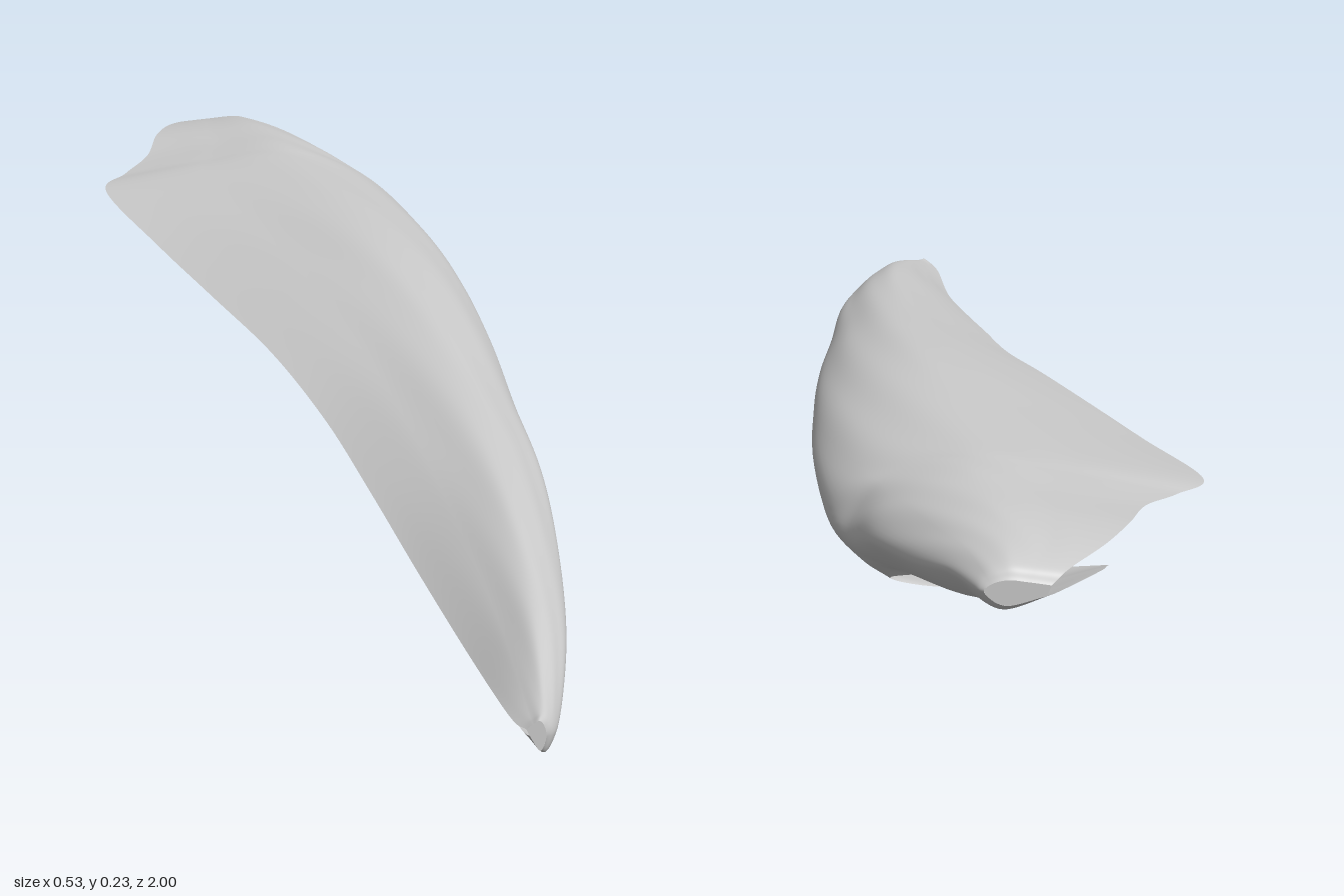
import * as THREE from 'three';
import { ParametricGeometry } from 'three/addons/geometries/ParametricGeometry.js';

// Cross-sections from the front tip to the back end:
// z, left edge x y, crest y, outermost x y, underside y, lower edge x y
const sections = [
  [1.0, 0.17, 0.04, 0.05, 0.192, 0.03, 0.014, 0.174, 0.032],
  [0.96, 0.157, 0.037, 0.057, 0.211, 0.028, 0.002, 0.167, 0.026],
  [0.8, 0.13, 0.04, 0.095, 0.24, 0.055, 0.015, 0.14, 0.032],
  [0.6, 0.09, 0.062, 0.132, 0.256, 0.08, 0.028, 0.11, 0.047],
  [0.4, 0.05, 0.088, 0.156, 0.262, 0.1, 0.04, 0.095, 0.05],
  [0.2, 0.008, 0.112, 0.178, 0.255, 0.11, 0.048, 0.085, 0.051],
  [0.0, -0.05, 0.137, 0.2, 0.25, 0.12, 0.056, 0.07, 0.052],
  [-0.2, -0.12, 0.152, 0.217, 0.238, 0.13, 0.064, 0.055, 0.053],
  [-0.4, -0.19, 0.166, 0.224, 0.218, 0.135, 0.07, 0.04, 0.053],
  [-0.62, -0.262, 0.185, 0.226, 0.18, 0.135, 0.078, 0.02, 0.05],
  [-0.7, -0.232, 0.19, 0.227, 0.145, 0.138, 0.105, 0.095, 0.085],
  [-0.77, -0.197, 0.198, 0.226, 0.11, 0.145, 0.1, -0.13, 0.125],
  [-0.86, -0.18, 0.206, 0.222, 0.06, 0.155, 0.118, -0.155, 0.155],
  [-0.93, -0.155, 0.204, 0.213, 0.015, 0.168, 0.137, -0.135, 0.165],
  [-0.985, -0.118, 0.194, 0.2, -0.015, 0.17, 0.147, -0.105, 0.167],
  [-1.0, -0.1, 0.18, 0.185, -0.028, 0.17, 0.156, -0.095, 0.168],
];

// Smooth interpolation through evenly parameterised values
function smooth(get, count, t) {
  const s = THREE.MathUtils.clamp(t, 0, 1) * (count - 1);
  const i = Math.min(Math.floor(s), count - 2), f = s - i;
  const b = get(i), c = get(i + 1);
  const a = i > 0 ? get(i - 1) : 2 * b - c;
  const d = i < count - 2 ? get(i + 2) : 2 * c - b;
  const m0 = (c - a) / 2, m1 = (d - b) / 2;
  return b + f * (m0 + f * (3 * (c - b) - 2 * m0 - m1 + f * (2 * (b - c) + m0 + m1)));
}

function shellPoint(u, v, target) {
  const [z, xl, yl, yt, xr, yr, ym, xb, yb] =
    sections[0].map((_, k) => smooth(i => sections[i][k], sections.length, v));
  const w = xr - xl;
  // Thin left edge, flat top, rounded shoulder, wall curling under
  const px = [xl, xl + 0.33 * w, xl + 0.65 * w, xl + 0.9 * w, xr, xr - 0.35 * (xr - xb), xb];
  const py = [yl, yl + 0.6 * (yt - yl), yt, yr + 0.66 * (yt - yr), yr, ym, yb];
  // Shallow slanting fibre grooves, fading toward the edges
  const fade = Math.sin(Math.PI * u) ** 2 * Math.sin(Math.PI * v);
  const groove = 0.0016 * fade * Math.sin(45 * v + 45 * u + 2 * Math.sin(9 * v));
  target.set(
    smooth(i => px[i], px.length, u) + groove * Math.max(0, 2 * u - 1),
    smooth(i => py[i], py.length, u) + groove * (1 - u),
    z
  );
}

// Fan closing one end of the shell
function endCap(v, facing) {
  const steps = 24, positions = [], index = [], p = new THREE.Vector3();
  for (let i = 0; i <= steps; i++) {
    shellPoint(i / steps, v, p);
    positions.push(p.x, p.y, p.z);
  }
  for (let i = 0; i < steps / 2; i++) {
    const a = i, b = i + 1, c = steps - i, d = steps - i - 1;
    if (facing > 0) index.push(a, c, b, b, c, d);
    else index.push(a, b, c, b, d, c);
  }
  const geometry = new THREE.BufferGeometry();
  geometry.setAttribute('position', new THREE.Float32BufferAttribute(positions, 3));
  geometry.setIndex(index);
  geometry.computeVertexNormals();
  return geometry;
}

export function createModel() {
  const group = new THREE.Group();
  group.name = 'curvedShell';
  const material = new THREE.MeshStandardMaterial({ color: 0xcccccc, side: THREE.DoubleSide });
  const add = (name, geometry) => {
    const mesh = new THREE.Mesh(geometry, material);
    mesh.name = name;
    group.add(mesh);
  };
  add('fibrousShell', new ParametricGeometry(shellPoint, 60, 200));
  add('frontTip', endCap(0, 1));
  add('backTip', endCap(1, -1));
  return group;
}
